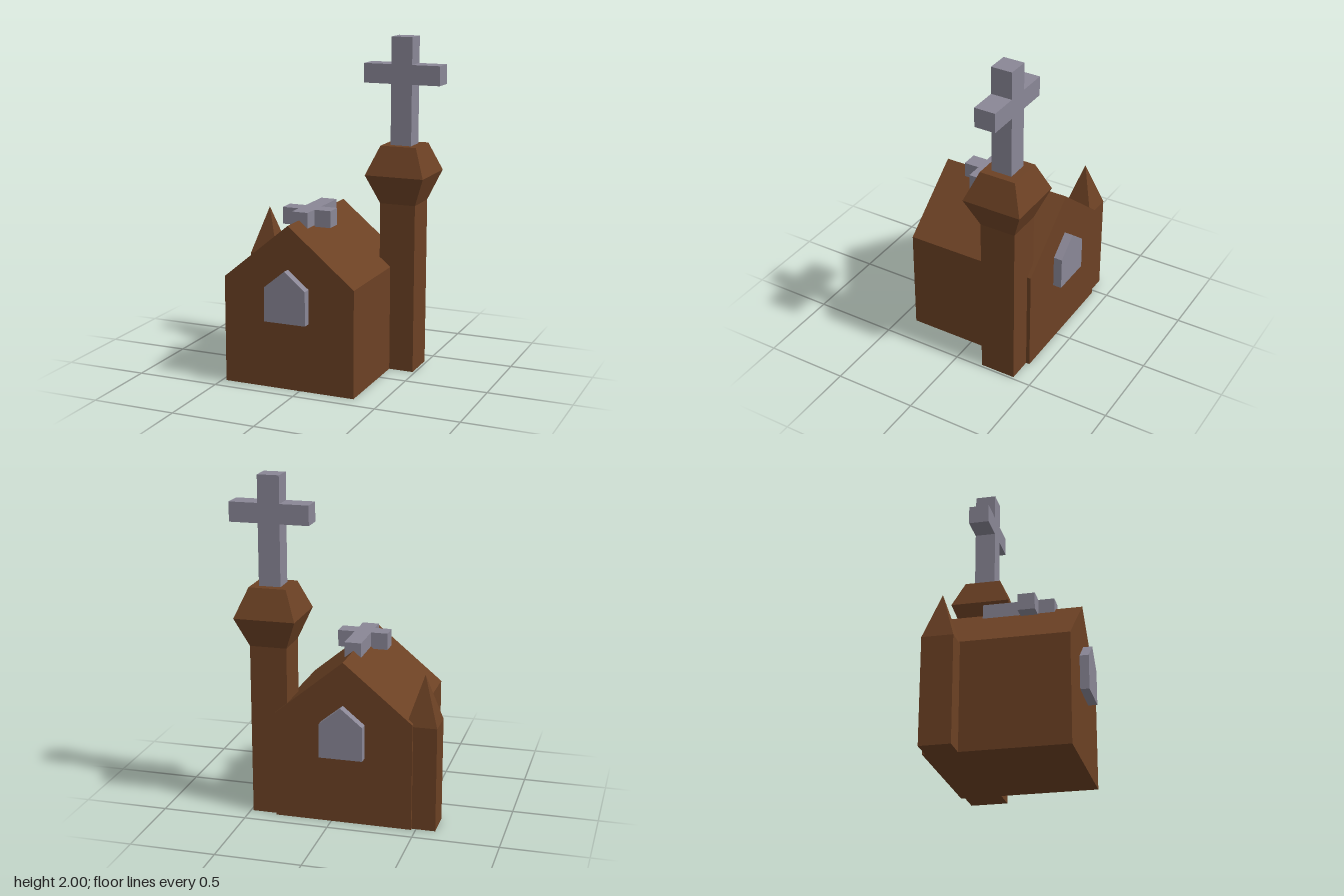
import * as THREE from 'three';

const brown = new THREE.MeshStandardMaterial({ color: 0x6c4124, flatShading: true });
const stone = new THREE.MeshStandardMaterial({ color: 0x8a8796, flatShading: true });

function add(parent, name, geometry, material, x = 0, y = 0, z = 0) {
  const mesh = new THREE.Mesh(geometry, material);
  mesh.name = name;
  mesh.position.set(x, y, z);
  parent.add(mesh);
  return mesh;
}

// Gabled prism: rectangle with a pointed top, extruded along z
function gable(halfWidth, base, eave, ridge, depth) {
  const shape = new THREE.Shape([
    new THREE.Vector2(-halfWidth, base),
    new THREE.Vector2(halfWidth, base),
    new THREE.Vector2(halfWidth, eave),
    new THREE.Vector2(0, ridge),
    new THREE.Vector2(-halfWidth, eave),
  ]);
  return new THREE.ExtrudeGeometry(shape, { depth, bevelEnabled: false });
}

// Square column from [half width, height] pairs, bottom to top
function squareColumn(profile) {
  const points = profile.map(([half, y]) => new THREE.Vector2(half * Math.SQRT2, y));
  return new THREE.LatheGeometry(points, 4, Math.PI / 4);
}

// Twelve-sided cross outline standing on y = 0, centred in depth
function cross(stem, height, arm, armLow, armHigh, depth) {
  const right = [[stem, 0], [stem, armLow], [arm, armLow], [arm, armHigh], [stem, armHigh], [stem, height]];
  const left = right.map(([x, y]) => [-x, y]).reverse();
  const shape = new THREE.Shape([...right, ...left].map(([x, y]) => new THREE.Vector2(x, y)));
  return new THREE.ExtrudeGeometry(shape, { depth, bevelEnabled: false }).translate(0, 0, -depth / 2);
}

export function createModel() {
  const model = new THREE.Group();
  model.name = 'chapel';
  const ridgeX = -0.07;

  // Main hall
  add(model, 'hall', gable(0.405, 0, 0.637, 0.972, 0.812), brown, ridgeX, 0, -0.407);

  // Pointed windows on both gable ends
  const windowGeometry = gable(0.128, 0.41, 0.612, 0.717, 0.1);
  add(model, 'frontWindow', windowGeometry, stone, ridgeX, 0, 0.357);
  add(model, 'backWindow', windowGeometry, stone, ridgeX, 0, -0.46);

  // Bell tower with flared cap
  add(model, 'tower', squareColumn([[0, 0], [0.109, 0], [0.109, 1.02], [0.18, 1.195], [0.11, 1.365], [0, 1.365]]),
    brown, 0.376, 0, -0.275);
  add(model, 'towerCross', cross(0.064, 0.645, 0.234, 0.37, 0.485, 0.126), stone, 0.376, 1.355, -0.274);

  // Small spired turret at the back corner
  add(model, 'turret', squareColumn([[0, 0], [0.09, 0], [0.09, 0.622], [0, 0.907]]), brown, -0.523, 0, -0.3);

  // Cross lying along the ridge, its head toward the front
  const roofCross = add(model, 'roofCross', cross(0.05, 0.425, 0.151, 0.23, 0.331, 0.1), stone, -0.066, 0.97, -0.175);
  roofCross.rotation.x = Math.PI / 2;

  return model;
}
